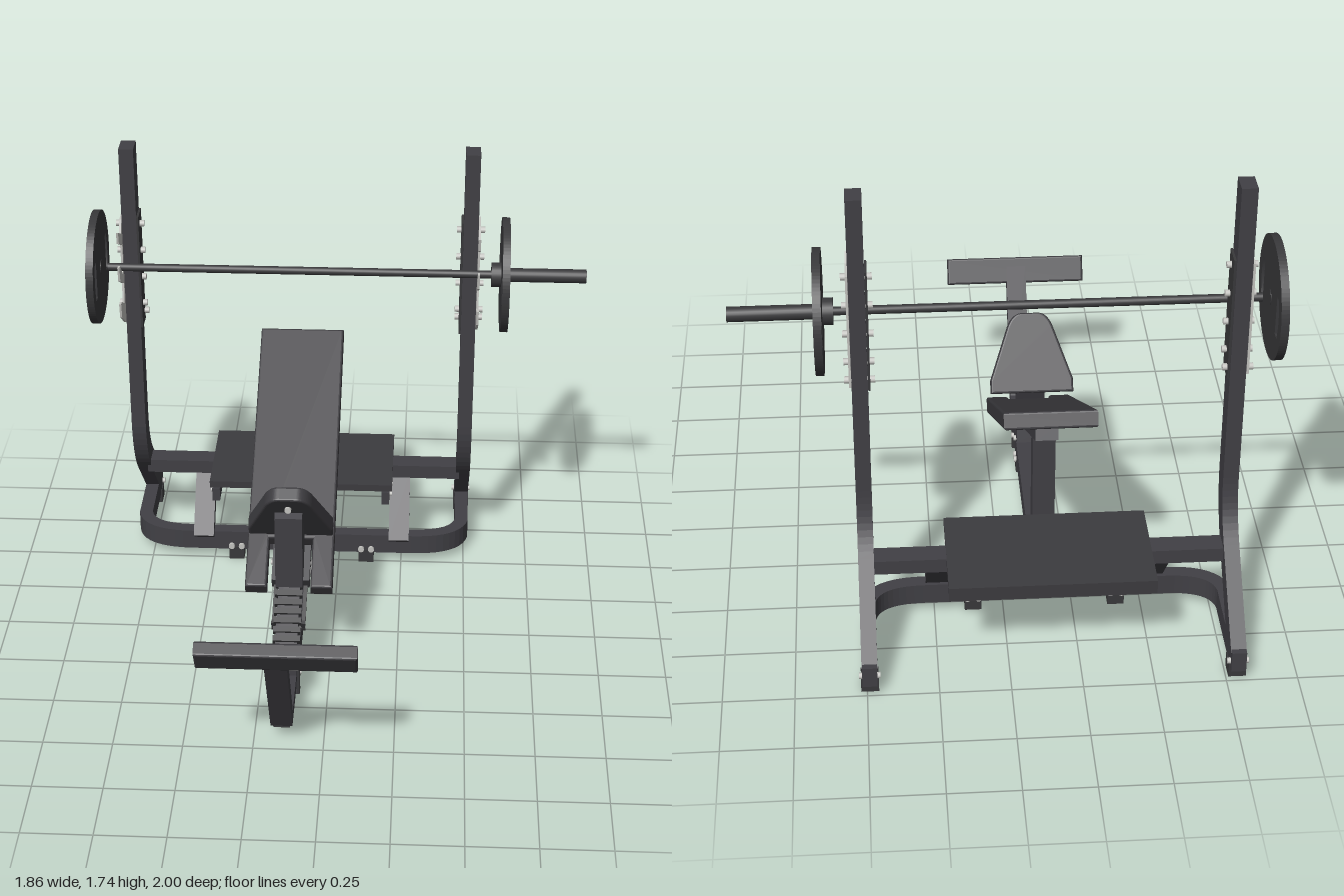
import * as THREE from 'three';

const mat = (name, color) => {
  const m = new THREE.MeshStandardMaterial({ color });
  m.name = name;
  return m;
};

export function createModel() {
  const g = new THREE.Group();
  g.name = 'inclineBench';
  const frame = mat('charcoalFrame', 0x414045);
  const pad = mat('darkUpholstery', 0x3c3b3f);
  const iron = mat('darkIron', 0x39393b);
  const steel = mat('lightSteel', 0xc4c4c0);
  const CX = -0.15;              // bench centre line
  const SIDES = [-1, 1];
  const postX = s => CX + s * 0.64;

  const add = (name, geo, m, x = 0, y = 0, z = 0, rx = 0) => {
    const mesh = new THREE.Mesh(geo, m);
    mesh.name = name;
    mesh.position.set(x, y, z);
    mesh.rotation.x = rx;
    g.add(mesh);
    return mesh;
  };
  const box = (name, m, w, h, d, x, y, z, rx) => add(name, new THREE.BoxGeometry(w, h, d), m, x, y, z, rx);
  const rod = (name, m, r, len, x, y, z, axis = 'x', n = 24) => {
    const geo = new THREE.CylinderGeometry(r, r, len, n);
    if (axis === 'x') geo.rotateZ(Math.PI / 2);
    if (axis === 'z') geo.rotateX(Math.PI / 2);
    return add(name, geo, m, x, y, z);
  };
  const shapeOf = pts => new THREE.Shape(pts.map(p => new THREE.Vector2(p[0], p[1])));
  const slab = (shape, depth, bevel = 0) => new THREE.ExtrudeGeometry(shape, {
    depth: depth - 2 * bevel, bevelEnabled: bevel > 0, bevelSize: bevel, bevelThickness: bevel,
    bevelOffset: -bevel, bevelSegments: 3, curveSegments: 24,
  }).translate(0, 0, bevel - depth / 2);
  // Mitred strip of a given width along a polyline
  const strip = (pts, width) => {
    const v = pts.map(p => new THREE.Vector2(p[0], p[1]));
    const left = [], right = [];
    v.forEach((p, i) => {
      const a = v[Math.max(i - 1, 0)], b = v[Math.min(i + 1, v.length - 1)];
      const d1 = (i ? p.clone().sub(a) : b.clone().sub(p)).normalize();
      const d2 = (i < v.length - 1 ? b.clone().sub(p) : d1.clone()).normalize();
      const t = d1.clone().add(d2).normalize();
      const k = width / 2 / t.dot(d1);
      left.push([p.x - t.y * k, p.y + t.x * k]);
      right.unshift([p.x + t.y * k, p.y - t.x * k]);
    });
    return shapeOf([...left, ...right]);
  };
  // Outlines given as (z, y), thickened along x
  const flip = pts => pts.map(([z, y]) => [-z, y]);
  const sideTube = (name, m, pts, width, depth, x) =>
    add(name, slab(strip(flip(pts), width), depth).rotateY(Math.PI / 2), m, x);
  const sidePlate = (name, m, pts, depth, x) =>
    add(name, slab(shapeOf(flip(pts)), depth).rotateY(Math.PI / 2), m, x);
  const bend = (a, c, b, n = 10) => new THREE.QuadraticBezierCurve(
    new THREE.Vector2(...a), new THREE.Vector2(...c), new THREE.Vector2(...b)).getPoints(n).map(p => [p.x, p.y]);

  // Bent rack uprights with bar hooks
  for (const s of SIDES) {
    const x = postX(s);
    sideTube('upright', frame, [[-0.585, 1.74],
      ...bend([-0.585, 0.6], [-0.585, 0.452], [-0.69, 0.347]), [-0.957, 0.08]], 0.085, 0.055, x);
    sidePlate('hookPlate', steel, [[-0.63, 1.03], [-0.54, 1.03], [-0.44, 1.1], [-0.43, 1.16], [-0.45, 1.16],
      [-0.52, 1.12], [-0.53, 1.2], [-0.44, 1.25], [-0.43, 1.31], [-0.45, 1.31], [-0.51, 1.25], [-0.535, 1.27],
      [-0.53, 1.36], [-0.45, 1.4], [-0.44, 1.45], [-0.52, 1.41], [-0.54, 1.46], [-0.63, 1.46]], 0.008, x + s * 0.032);
    box('innerHookPlate', iron, 0.008, 0.46, 0.085, x - s * 0.032, 1.24, -0.58);
    for (const y of [1.05, 1.1, 1.21, 1.32, 1.43])
      rod('hookBolt', steel, 0.012, 0.105, x, y, y === 1.05 ? -0.61 : -0.575, 'x', 12);
    box('rearFoot', iron, 0.062, 0.055, 0.065, x, 0.0275, -0.945);
    rod('footBolt', steel, 0.011, 0.075, x, 0.07, -0.975, 'x', 12);
  }

  // U-shaped base rail, in plan (x, -z)
  const half = s => [[postX(s), 1], ...bend([postX(s), 0.64], [postX(s) - s * 0.02, 0.525], [postX(s) - s * 0.2, 0.525])];
  add('baseRail', slab(strip([...half(-1), ...half(1).reverse()], 0.052), 0.08).rotateX(-Math.PI / 2), frame, 0, 0.08, 0);

  // Spine, bench post and foot rest arm
  box('spine', frame, 0.08, 0.08, 0.95, CX, 0.08, -0.035);
  sideTube('footRestArm', frame, [[0.42, 0.092], [0.69, 0.092], [0.96, 0.56]], 0.048, 0.078, CX);
  box('armPlate', iron, 0.06, 0.015, 0.08, CX, 0.062, 0.655);
  add('footRest', slab(shapeOf([[-0.275, -0.052], [0.275, -0.052], [0.275, 0.052], [-0.275, 0.052]]), 0.055, 0.008),
    pad, -0.147, 0.544, 0.957, 0.523);
  box('benchPost', frame, 0.08, 0.58, 0.08, CX, 0.41, -0.42);

  // Step platform with cross beam and braces
  box('crossBeam', frame, 1.25, 0.055, 0.08, CX, 0.335, -0.68);
  box('platform', pad, 0.72, 0.028, 0.41, CX, 0.351, -0.685);
  box('platformLip', pad, 0.72, 0.05, 0.01, CX, 0.335, -0.885);
  box('platformBeam', frame, 0.08, 0.055, 0.28, CX, 0.31, -0.6);
  for (const s of SIDES) {
    sideTube('brace', frame, [[-0.49, 0.1], [-0.68, 0.32]], 0.045, 0.08, CX + s * 0.39);
    box('platformRail', frame, 0.03, 0.055, 0.28, CX + s * 0.335, 0.31, -0.61);
    for (const z of [-0.53, -0.6])
      rod('railBolt', steel, 0.01, 0.015, CX + s * 0.352, 0.3, z, 'x', 12);
    box('crossFoot', iron, 0.06, 0.055, 0.062, CX + s * 0.26, 0.0275, -0.52);
    for (const d of SIDES)
      rod('crossFootBolt', steel, 0.012, 0.075, CX + s * 0.26 + d * 0.02, 0.057, -0.525, 'z', 12);
  }
  for (const z of [0.33, -0.34]) {
    box('spineFoot', iron, 0.085, 0.055, 0.06, CX, 0.0275, z);
    for (const d of SIDES) rod('spineFootBolt', steel, 0.012, 0.1, CX, 0.055, z + d * 0.018, 'x', 12);
  }

  // Inclined rail bent down to the front of the spine
  sideTube('inclineRail', frame, [[0.44, 0.035], [0.44, 0.192], [-0.55, 0.762]], 0.05, 0.08, CX);
  box('railCap', iron, 0.1, 0.14, 0.035, CX, 0.1, 0.442);
  rod('railPin', steel, 0.01, 0.13, CX, 0.145, 0.46, 'x', 12);
  for (let i = 0; i < 7; i++)
    box('adjustmentTooth', iron, 0.1, 0.025, 0.022, CX, 0.235 + i * 0.0185, 0.41 - i * 0.032, 0.524);

  // Padded backrest with a slot for the seat
  add('backrest', slab(shapeOf([[-0.16, 0], [-0.08, 0], [-0.08, 0.2], [0.08, 0.2], [0.08, 0],
    [0.16, 0], [0.16, 1.117], [-0.16, 1.117]]), 0.06, 0.008), pad, CX, 0.35, 0.26, -1.036);

  // Tapered seat on its bracket
  const seat = new THREE.Shape();
  seat.moveTo(-0.155, 0).lineTo(0.155, 0).lineTo(0.155, 0.05).lineTo(0.085, 0.25);
  seat.quadraticCurveTo(0.065, 0.3, 0.03, 0.3).lineTo(-0.03, 0.3);
  seat.quadraticCurveTo(-0.065, 0.3, -0.085, 0.25).lineTo(-0.155, 0.05);
  add('seat', slab(seat, 0.056, 0.008), pad, CX, 0.512, 0.09, 0.594);
  sidePlate('seatBracket', frame, [[0.25, 0.65], [0.2, 0.67], [0.1, 0.53], [0.14, 0.4], [0.24, 0.35]], 0.1, CX);
  rod('seatBolt', steel, 0.012, 0.02, CX, 0.69, 0.25, 'z', 12);

  // Sliding carriage and its release lever
  sidePlate('carriage', frame, [[-0.1, 0.49], [-0.118, 0.43], [0.14, 0.285], [0.17, 0.335]], 0.14, CX);
  for (const s of SIDES) {
    sideTube('releaseLever', iron, [[0.1, 0.32], [0.295, 0.21], [0.31, 0.245]], 0.014, 0.014, CX + s * 0.055);
    for (const z of [0.06, -0.06]) rod('carriageBolt', steel, 0.01, 0.015, CX + s * 0.072, 0.377 - z * 0.577, z, 'x', 12);
  }
  rod('leverGrip', iron, 0.009, 0.125, CX, 0.212, 0.295, 'x', 12);

  // Barbell
  const BY = 1.27, BZ = -0.525;
  rod('bar', iron, 0.015, 1.45, -0.15, BY, BZ);
  rod('collar', iron, 0.046, 0.04, 0.59, BY, BZ);
  rod('sleeve', iron, 0.026, 0.33, 0.76, BY, BZ);

  // Weight plates with two grip slots
  const disc = new THREE.Shape();
  disc.absarc(0, 0, 0.215, 0, Math.PI * 2);
  for (const s of SIDES) {
    const slot = new THREE.Path();
    slot.moveTo(s * 0.12, -0.072).lineTo(s * 0.152, -0.072);
    slot.quadraticCurveTo(s * 0.182, 0, s * 0.152, 0.072).lineTo(s * 0.12, 0.072).lineTo(s * 0.12, -0.072);
    disc.holes.push(slot);
  }
  const discGeo = new THREE.ExtrudeGeometry(disc, { depth: 0.028, bevelEnabled: false, curveSegments: 48 })
    .translate(0, 0, -0.014).rotateY(Math.PI / 2);
  for (const x of [-0.915, 0.62]) {
    add('weightPlate', discGeo, iron, x, BY, BZ);
    rod('plateHub', iron, 0.027, 0.032, x, BY, BZ);
  }
  return g;
}
